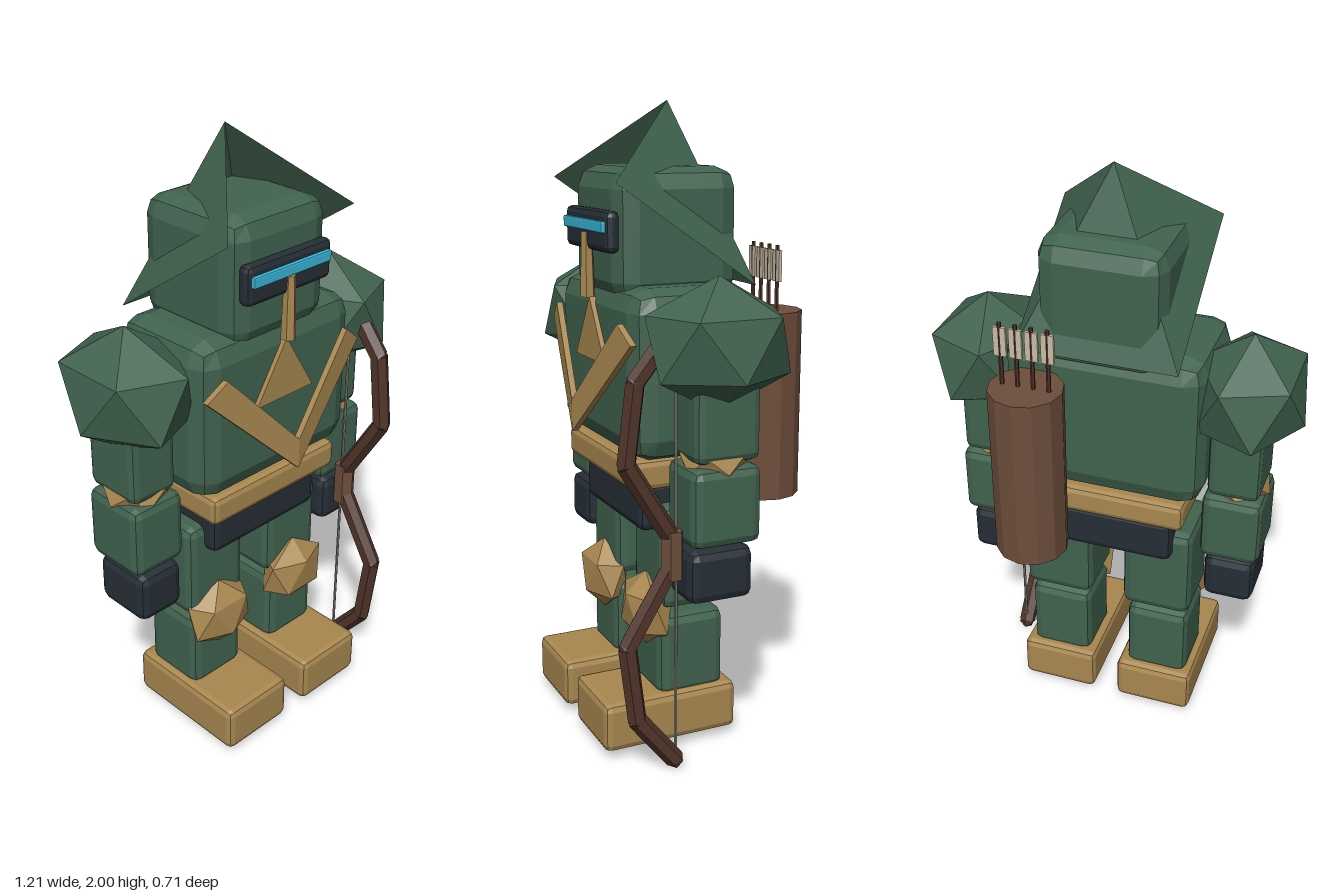
import * as THREE from 'three';
import { RoundedBoxGeometry } from 'three/addons/geometries/RoundedBoxGeometry.js';

const mat = (color, extra = {}) => new THREE.MeshStandardMaterial({ color, flatShading: true, ...extra });

export function createModel() {
  const green = mat(0x41634f), gold = mat(0xa98850), dark = mat(0x262e36);
  const leather = mat(0x6e4e3c), wood = mat(0x50342a), cream = mat(0xc9bda5);
  const glow = mat(0x38b6d8), cord = mat(0x8a857c);
  const cloth = mat(0x41634f, { side: THREE.DoubleSide });

  const model = new THREE.Group();
  const add = (name, geometry, material, parent = model) => {
    const mesh = new THREE.Mesh(geometry, material);
    mesh.name = name;
    parent.add(mesh);
    return mesh;
  };

  // chamfered box given by its min and max along each axis
  const block = (name, [x0, x1], [y0, y1], [z0, z1], bevel, material, parent) => {
    const g = new RoundedBoxGeometry(x1 - x0, y1 - y0, z1 - z0, 1, bevel);
    g.translate((x0 + x1) / 2, (y0 + y1) / 2, (z0 + z1) / 2);
    return add(name, g, material, parent);
  };

  // straight rod between two points
  const rod = (name, a, b, r, material, parent, sides = 6) => {
    const from = new THREE.Vector3(...a), to = new THREE.Vector3(...b);
    const mesh = add(name, new THREE.CylinderGeometry(r, r, from.distanceTo(to), sides), material, parent);
    mesh.position.copy(from).add(to).multiplyScalar(0.5);
    mesh.quaternion.setFromUnitVectors(new THREE.Vector3(0, 1, 0), to.sub(from).normalize());
    return mesh;
  };

  // faceted pad: icosahedron with a vertex straight up, then squashed
  const tilt = Math.atan2(1, (1 + Math.sqrt(5)) / 2);
  const pad = (name, r, turn, scale, at, material, parent, s = 1) => {
    const g = new THREE.IcosahedronGeometry(r, 0);
    g.rotateZ(s * tilt).rotateY(turn).scale(...scale).translate(...at);
    return add(name, g, material, parent);
  };

  // trunk
  block('torso', [-0.325, 0.325], [0.94, 1.46], [-0.135, 0.255], 0.07, green);
  block('belt', [-0.272, 0.272], [0.845, 0.94], [-0.13, 0.245], 0.02, gold);
  block('hips', [-0.232, 0.232], [0.7, 0.86], [-0.115, 0.2], 0.025, dark);

  // head, visor and nose guard
  block('head', [-0.2, 0.2], [1.4, 1.805], [-0.155, 0.25], 0.065, green);
  block('visor', [-0.175, 0.175], [1.555, 1.68], [0.235, 0.28], 0.018, dark);
  block('visorLight', [-0.16, 0.16], [1.615, 1.65], [0.27, 0.292], 0.005, glow);
  add('noseGuard', new THREE.CylinderGeometry(0.018, 0.024, 0.2, 6), gold).position.set(0, 1.51, 0.275);

  // hood: three sides of a leaning pyramid, open at the front
  const apex = [0, 2, 0.005];
  const rim = [[0.257, 1.765, 0.285], [0.257, 1.45, -0.175], [-0.257, 1.45, -0.175], [-0.257, 1.765, 0.285]];
  const hoodPoints = [];
  for (let i = 0; i < 3; i++) hoodPoints.push(...apex, ...rim[i], ...rim[i + 1]);
  const hood = new THREE.BufferGeometry();
  hood.setAttribute('position', new THREE.Float32BufferAttribute(hoodPoints, 3));
  hood.computeVertexNormals();
  add('hood', hood, cloth);

  // chest ornament: triangle and a chevron that swells forward in the middle
  const plate = (points, depth) => new THREE.ExtrudeGeometry(
    new THREE.Shape(points.map(p => new THREE.Vector2(...p))), { depth, bevelEnabled: false });
  add('chestTriangle', plate([[-0.12, 1.215], [0.12, 1.215], [0, 1.41]], 0.02).translate(0, 0, 0.25), gold);
  const chevron = plate([[0, 0.988], [0.325, 1.305], [0.255, 1.36], [0, 1.09], [-0.255, 1.36], [-0.325, 1.305]], 0.02);
  const cp = chevron.attributes.position;
  for (let i = 0; i < cp.count; i++) {
    cp.setZ(i, cp.getZ(i) + 0.252 + 0.062 * (1 - Math.abs(cp.getX(i)) / 0.325));
  }
  add('chestChevron', chevron, gold);

  // arms and legs
  for (const s of [1, -1]) {
    const side = s > 0 ? 'left' : 'right';
    const span = (a, b) => (s > 0 ? [a, b] : [-b, -a]);

    const arm = new THREE.Group();
    arm.name = side + 'Arm';
    model.add(arm);
    pad('shoulderPad', 0.247, 0, [0.79, 0.81, 1], [s * 0.43, 1.31, 0.04], green, arm, s);
    block('upperArm', span(0.33, 0.5), [0.97, 1.3], [-0.07, 0.14], 0.025, green, arm);
    pad('elbowPad', 0.115, 0, [1, 0.48, 1], [s * 0.412, 0.965, 0.045], gold, arm, s);
    block('forearm', span(0.315, 0.512), [0.72, 0.96], [-0.07, 0.155], 0.028, green, arm);
    block('hand', span(0.33, 0.497), [0.545, 0.71], [-0.052, 0.157], 0.028, dark, arm);

    const leg = new THREE.Group();
    leg.name = side + 'Leg';
    model.add(leg);
    block('thigh', span(0.057, 0.293), [0.457, 0.79], [-0.082, 0.155], 0.03, green, leg);
    block('shin', span(0.07, 0.284), [0.16, 0.432], [-0.064, 0.16], 0.03, green, leg);
    pad('kneePad', 0.13, s * Math.PI / 2, [1.06, 0.95, 0.6], [s * 0.175, 0.432, 0.16], gold, leg);
    block('foot', span(0.042, 0.31), [0.025, 0.182], [-0.097, 0.355], 0.022, gold, leg);
  }

  // quiver with a row of arrows
  const quiver = new THREE.Group();
  quiver.name = 'quiver';
  model.add(quiver);
  add('quiverCase', new THREE.CylinderGeometry(0.117, 0.117, 0.59, 12), leather, quiver)
    .position.set(0.195, 1.07, -0.24);
  for (let i = 0; i < 4; i++) {
    const x = 0.12 + i * 0.05;
    rod('arrowShaft', [x, 1.3, -0.24], [x, 1.57, -0.24], 0.007, wood, quiver);
    add('arrowFletching', new THREE.BoxGeometry(0.04, 0.095, 0.01), cream, quiver).position.set(x, 1.508, -0.24);
  }

  // recurved bow, its lower limb mirrored from the upper
  const bow = new THREE.Group();
  bow.name = 'bow';
  model.add(bow);
  const bx = 0.412, by = 0.697;
  const limb = [[0, 0.18], [0.05, 0.185], [0.28, 0.325], [0.52, 0.295], [0.675, 0.17]];
  for (const s of [1, -1]) {
    for (let i = 0; i < limb.length - 1; i++) {
      const [a, b] = [limb[i], limb[i + 1]].map(([y, z]) => [bx, by + s * y, z]);
      rod('bowLimb', a, b, 0.03, wood, bow);
      add('bowJoint', new THREE.IcosahedronGeometry(0.03, 0), wood, bow).position.set(...b);
    }
  }
  rod('bowGrip', [bx, 0.615, 0.18], [bx, 0.765, 0.18], 0.036, leather, bow);
  rod('bowString', [bx, 0.022, 0.167], [bx, 1.372, 0.167], 0.005, cord, bow);

  return model;
}
